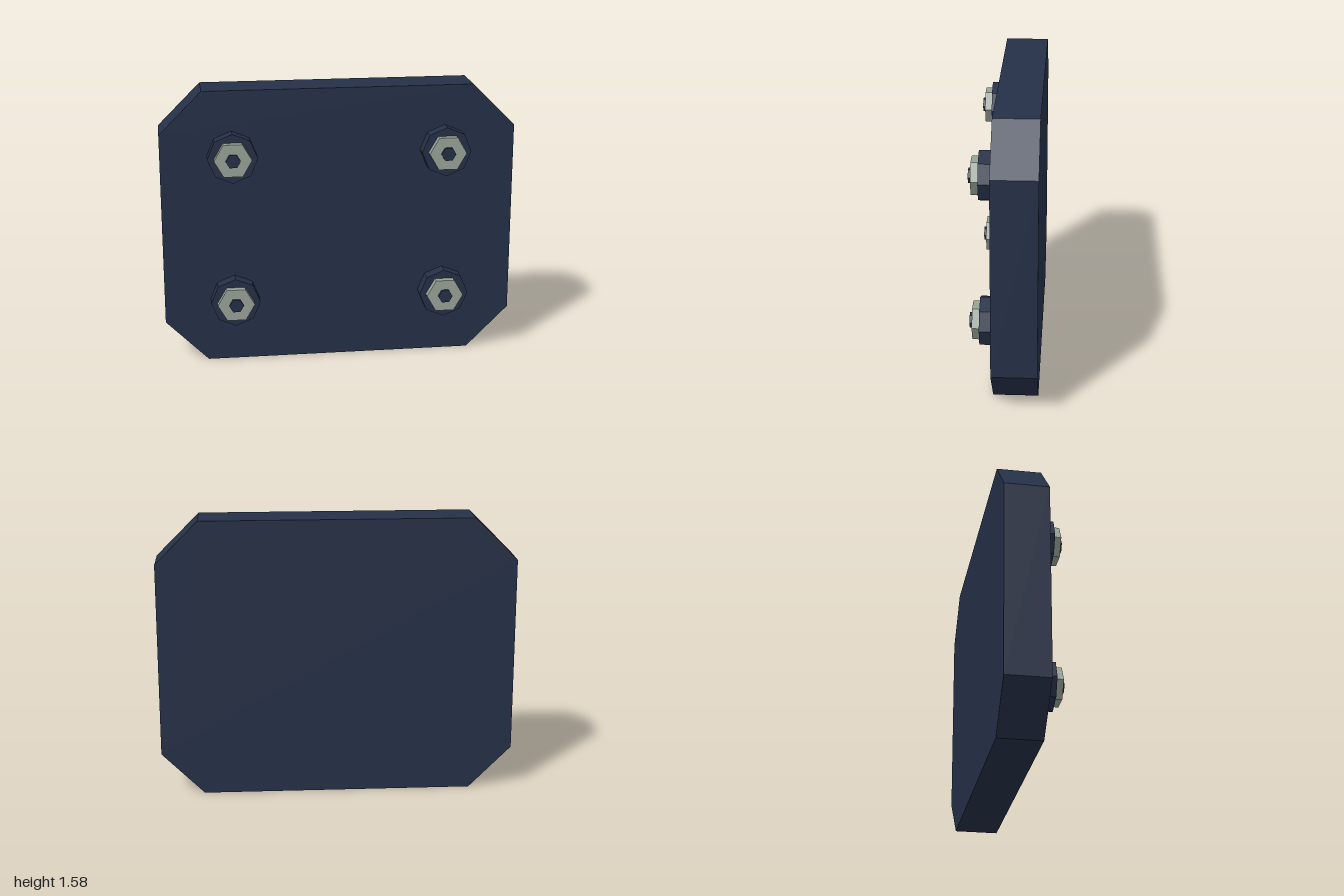
import * as THREE from 'three';

const navy = new THREE.MeshStandardMaterial({ color: 0x253047, flatShading: true });
navy.name = 'darkNavy';
const steel = new THREE.MeshStandardMaterial({ color: 0x98a398, flatShading: true });
steel.name = 'paleSteel';

// Prism lying along z from z0 to z1, with one corner on the x axis
function prism(name, radius, sides, z0, z1, material) {
  const geometry = new THREE.CylinderGeometry(radius, radius, z1 - z0, sides, 1, false, Math.PI / 2);
  geometry.rotateX(Math.PI / 2);
  const mesh = new THREE.Mesh(geometry, material);
  mesh.name = name;
  mesh.position.z = (z0 + z1) / 2;
  return mesh;
}

export function createModel() {
  const model = new THREE.Group();
  model.name = 'boltedPlate';

  // Thick plate with cut corners
  const outline = new THREE.Shape([
    [-0.76, 0], [0.76, 0], [1, 0.24], [1, 1.34],
    [0.76, 1.58], [-0.76, 1.58], [-1, 1.34], [-1, 0.24],
  ].map(([x, y]) => new THREE.Vector2(x, y)));
  const plate = new THREE.Mesh(
    new THREE.ExtrudeGeometry(outline, { depth: 0.245, bevelEnabled: false }), navy);
  plate.name = 'plate';
  plate.position.z = -0.19;
  model.add(plate);

  // Four bolts: octagonal collar, hex nut and small hex pin
  for (const x of [-0.6, 0.6]) {
    for (const y of [0.37, 1.213]) {
      const bolt = new THREE.Group();
      bolt.name = 'bolt';
      bolt.position.set(x, y, 0);
      bolt.add(
        prism('collar', 0.14, 8, 0.055, 0.133, navy),
        prism('nut', 0.105, 6, 0.133, 0.174, steel),
        prism('pin', 0.041, 6, 0.174, 0.19, navy),
      );
      model.add(bolt);
    }
  }
  return model;
}
